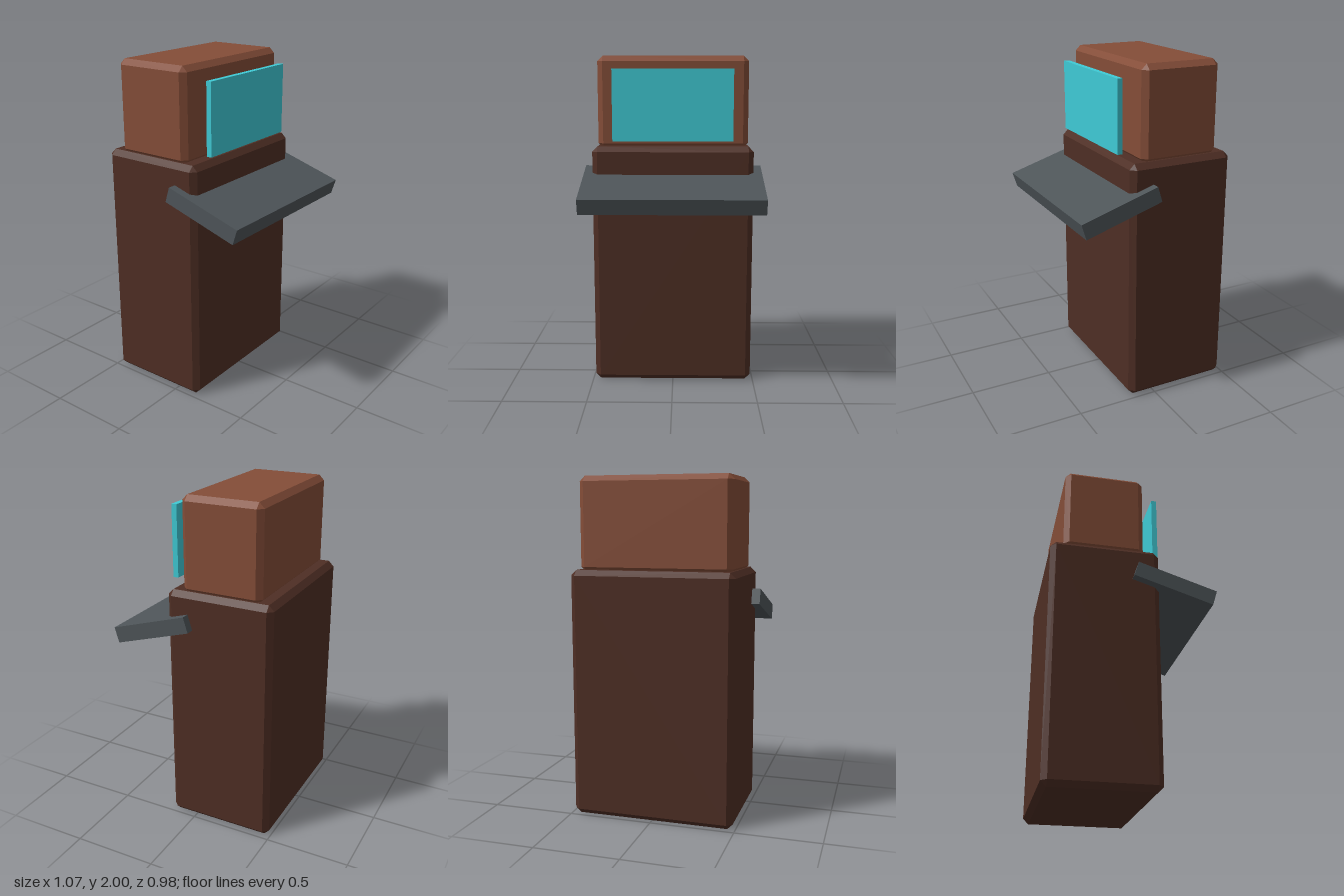
import * as THREE from 'three';
import { ConvexGeometry } from 'three/addons/geometries/ConvexGeometry.js';

const material = (name, color) => {
  const m = new THREE.MeshStandardMaterial({ color });
  m.name = name;
  return m;
};

// Box with every edge and corner cut flat by c
function chamferedBox(w, h, d, c) {
  const points = [];
  for (const sx of [-1, 1]) for (const sy of [-1, 1]) for (const sz of [-1, 1]) {
    for (let face = 0; face < 3; face++) {
      const inset = [c, c, c];
      inset[face] = 0;
      points.push(new THREE.Vector3(
        sx * (w / 2 - inset[0]), sy * (h / 2 - inset[1]), sz * (d / 2 - inset[2])));
    }
  }
  return new ConvexGeometry(points);
}

export function createModel() {
  const model = new THREE.Group();
  model.name = 'kiosk';

  const darkBrown = material('dark brown', 0x4e2e24);
  const brown = material('brown', 0x844d38);
  const grey = material('slate grey', 0x4e5559);
  const cyan = material('screen cyan', 0x3fcad5);

  const add = (name, geometry, mat, x, y, z) => {
    const mesh = new THREE.Mesh(geometry, mat);
    mesh.name = name;
    mesh.position.set(x, y, z);
    model.add(mesh);
    return mesh;
  };

  // Pedestal and the housing that sinks slightly into it
  add('pedestal', chamferedBox(0.97, 1.465, 0.65, 0.032), darkBrown, 0, 0.7325, -0.165);
  add('screenHousing', chamferedBox(0.91, 0.553, 0.486, 0.032), brown, 0, 1.7235, -0.168);

  // Screen panel standing in front of the housing
  add('screen', new THREE.BoxGeometry(0.715, 0.422, 0.032), cyan, 0, 1.71, 0.169);

  // Control shelf sloping down towards the user
  const shelf = add('controlShelf', new THREE.BoxGeometry(1.072, 0.095, 0.489), grey, 0, 1.2225, 0.243);
  shelf.rotation.x = 0.3;

  return model;
}
